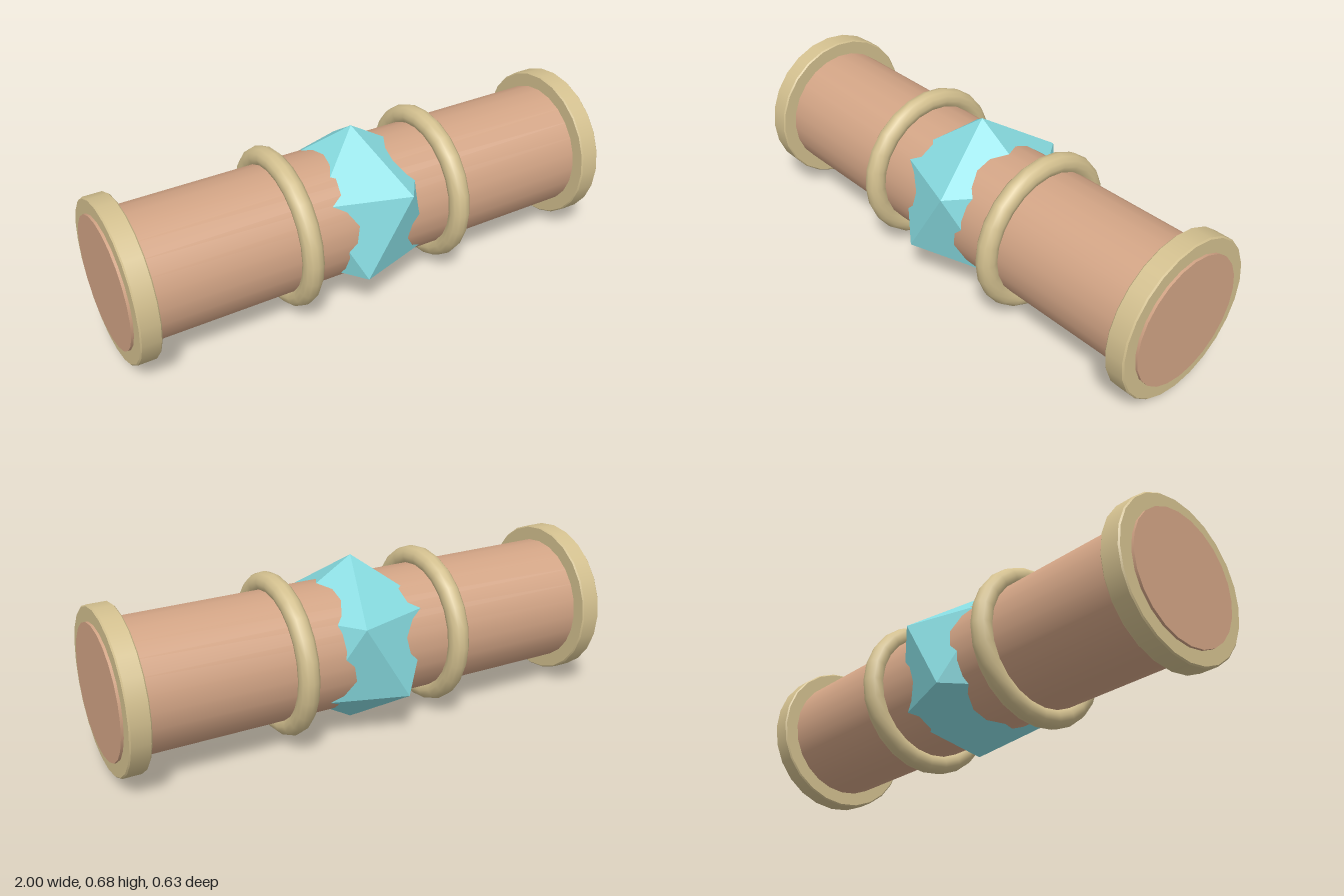
import * as THREE from 'three';

const CENTER_Y = 0.341;
const SIDES = 24;

const makeMaterial = (name, color) => {
  const m = new THREE.MeshStandardMaterial({ color });
  m.name = name;
  return m;
};

export function createModel() {
  const model = new THREE.Group();
  model.name = 'handle';
  const copper = makeMaterial('copper', 0xd2a485);
  const brass = makeMaterial('brass', 0xd3c08f);
  const crystalBlue = makeMaterial('crystalBlue', 0x86d9de);

  const add = (name, geometry, material, x = 0) => {
    const mesh = new THREE.Mesh(geometry, material);
    mesh.name = name;
    mesh.position.set(x, CENTER_Y, 0);
    model.add(mesh);
  };

  // Long round bar lying along x
  const bar = new THREE.CylinderGeometry(0.25, 0.25, 2, SIDES);
  bar.rotateZ(Math.PI / 2);
  add('bar', bar, copper);

  // End collar: flat disc with a tiny bevel; repeated points keep the edges sharp
  const r = 0.308, h = 0.04, b = 0.005;
  const corners = [[0, -h], [r - b, -h], [r, b - h], [r, h - b], [r - b, h], [0, h]];
  const profile = corners.flatMap(([x, y], i) => {
    const p = new THREE.Vector2(x, y);
    return i > 0 && i < corners.length - 1 ? [p, p.clone()] : [p];
  });
  const collar = new THREE.LatheGeometry(profile, SIDES);
  collar.rotateZ(Math.PI / 2);

  // Rounded grip ring around the bar
  const ring = new THREE.TorusGeometry(0.274, 0.04, 12, SIDES);
  ring.rotateY(Math.PI / 2);

  for (const [side, s] of [['left', 1], ['right', -1]]) {
    add(side + 'EndCollar', collar, brass, s * 0.95);
    add(side + 'Ring', ring, brass, s * 0.32);
  }

  // Faceted crystal, turned so that one corner points straight up
  const crystal = new THREE.IcosahedronGeometry(0.34, 0);
  crystal.rotateZ(-Math.atan(2 / (1 + Math.sqrt(5))));
  add('crystal', crystal, crystalBlue);

  return model;
}
